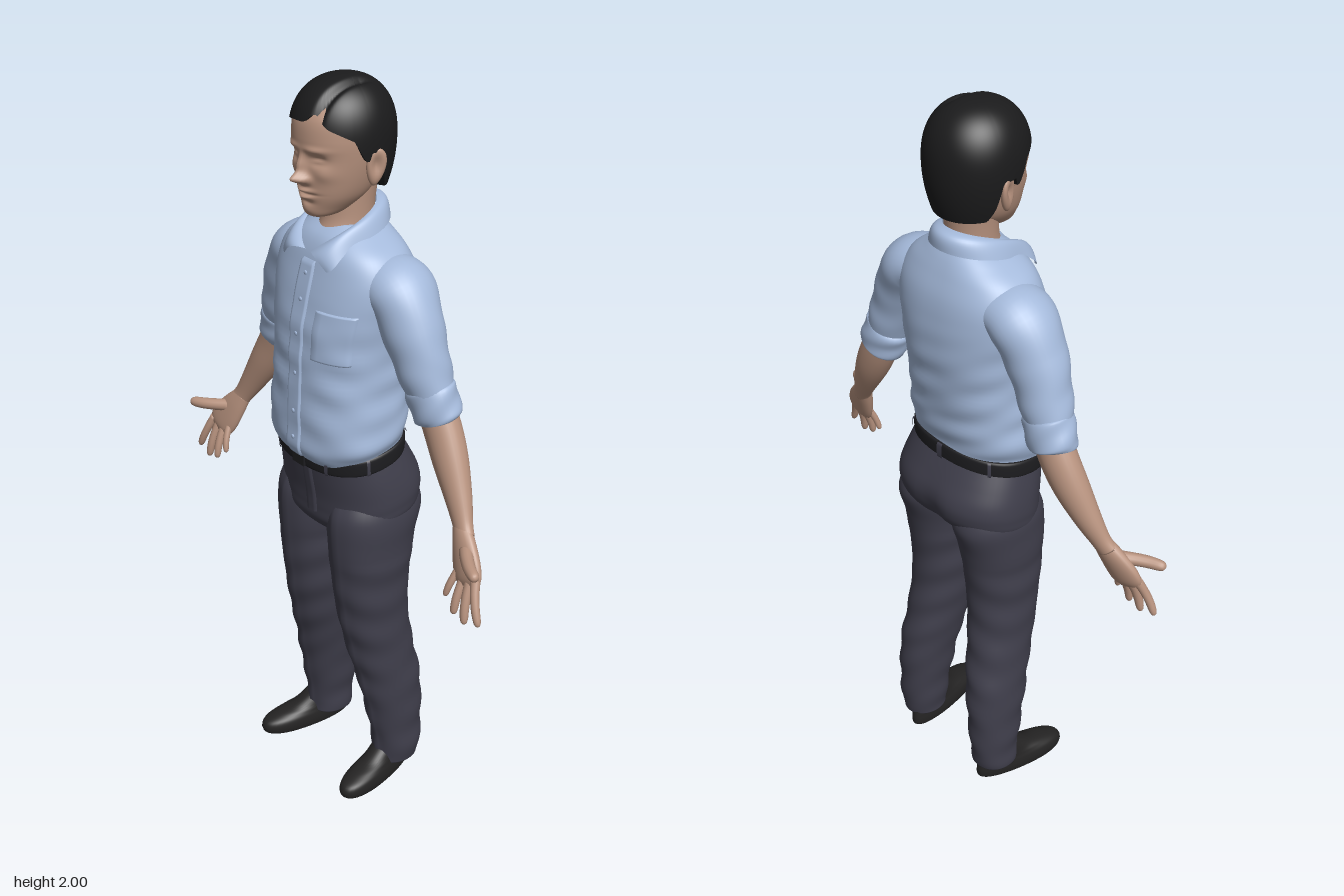
import * as THREE from 'three';

const mat = (name, color, side = THREE.FrontSide) => {
  const m = new THREE.MeshStandardMaterial({ color, side });
  m.name = name;
  return m;
};
const V = (x, y, z) => new THREE.Vector3(x, y, z);
const gauss = (d, s) => Math.exp(-((d / s) ** 2));

// Grid surface from fn(v, u); wrap joins the last column to the first
function grid(nv, nu, fn, wrap = true) {
  const pos = [], idx = [], cols = wrap ? nu : nu + 1;
  for (let i = 0; i <= nv; i++)
    for (let j = 0; j < cols; j++) pos.push(...fn(i / nv, j / nu, i).toArray());
  for (let i = 0; i < nv; i++)
    for (let j = 0; j < nu; j++) {
      const k = (j + 1) % cols, a = i * cols + j, b = a + cols, c = i * cols + k, d = c + cols;
      idx.push(a, b, c, b, d, c);
    }
  const g = new THREE.BufferGeometry();
  g.setAttribute('position', new THREE.Float32BufferAttribute(pos, 3));
  g.setIndex(idx);
  g.computeVertexNormals();
  return g;
}

// Smooth interpolation between table rows, t from 0 to 1
function sample(rows, t) {
  const n = rows.length - 1, f = Math.min(Math.max(t, 0), 1) * n, i = Math.min(Math.floor(f), n - 1), w = f - i;
  const r = (k) => rows[Math.min(Math.max(k, 0), n)];
  return rows[0].map((_, c) => {
    const [p, q, s, e] = [r(i - 1)[c], r(i)[c], r(i + 1)[c], r(i + 2)[c]];
    const m = (s - p) / 2, o = (e - q) / 2;
    return q + m * w + (3 * (s - q) - 2 * m - o) * w * w + (2 * (q - s) + m + o) * w ** 3;
  });
}

// Horizontal sections: rows of [y, centre x, half width, front z, back z], rising
function shell(rows, n = 2.3, fold = () => 0) {
  return (t, a, off = 0, scale = 1) => {
    const [y, cx, rx, zf, zb] = sample(rows, t), c = Math.cos(a), s = Math.sin(a), e = 2 / n;
    const d = off + fold(y, a);
    return V(cx + Math.sign(c) * Math.abs(c) ** e * (rx + d) * scale, y,
      (zf + zb) / 2 + Math.sign(s) * Math.abs(s) ** e * ((zf - zb) / 2 + d) * scale);
  };
}
const solid = (sh, nv = 40, nu = 48) => grid(nv + 2, nu, (v, u, i) =>
  sh((i - 1) / nv, u * Math.PI * 2, 0, i === 0 || i === nv + 2 ? 0 : 1));

// Limb along a path: rows of [x, y, z, width radius, depth radius]
function limb(rows, s = 1, nv = 20, nu = 20, fold = () => 0) {
  const at = (t) => { const r = sample(rows, t); return V(r[0] * s, r[1], r[2]); };
  return grid(nv + 2, nu, (v, u, i) => {
    const t = Math.min(Math.max((i - 1) / nv, 0), 1), r = sample(rows, t), a = u * Math.PI * 2;
    const dir = at(t + 0.01).sub(at(t - 0.01)).normalize();
    const side = dir.clone().cross(V(0, 0, 1)).normalize(), dep = side.clone().cross(dir);
    const k = i === 0 || i === nv + 2 ? 0 : 1 + fold(t, a);
    return at(t).addScaledVector(side, Math.cos(a) * r[3] * k).addScaledVector(dep, Math.sin(a) * r[4] * k);
  });
}

function edit(g, fn) {
  const p = g.attributes.position, v = V(0, 0, 0);
  for (let i = 0; i < p.count; i++) {
    fn(v.fromBufferAttribute(p, i));
    p.setXYZ(i, v.x, v.y, v.z);
  }
  g.computeVertexNormals();
  return g;
}

export function createModel() {
  const model = new THREE.Group();
  const shirt = mat('light blue cotton', 0xa4b9da, THREE.DoubleSide), cloth = mat('charcoal cloth', 0x3f3e4b);
  const skin = mat('skin', 0xb8937f), black = mat('black hair', 0x1b1b1c);
  const shoeMat = mat('shoe leather', 0x242323), beltMat = mat('belt leather', 0x1d1d20);
  const add = (name, g, m) => {
    const mesh = new THREE.Mesh(g, m);
    mesh.name = name;
    model.add(mesh);
    return mesh;
  };
  // The waistline drops towards the front
  const tilt = (v) => { v.y -= 0.16 * v.z * Math.min(Math.max((1.22 - v.y) / 0.14, 0), 1); };

  // Shirt body with soft folds
  const torso = shell([
    [1.04, 0, 0.172, 0.135, -0.108], [1.08, 0, 0.18, 0.158, -0.114], [1.12, 0, 0.193, 0.167, -0.122],
    [1.2, 0, 0.186, 0.163, -0.13], [1.3, 0, 0.182, 0.158, -0.141], [1.4, 0, 0.188, 0.152, -0.15],
    [1.48, 0, 0.2, 0.136, -0.147], [1.54, 0, 0.197, 0.12, -0.138], [1.59, 0, 0.168, 0.105, -0.12],
    [1.625, 0, 0.115, 0.085, -0.104], [1.65, 0, 0.07, 0.05, -0.088]], 2.4,
  (y, a) => 0.003 * Math.sin(y * 70 + 3 * Math.cos(a)) * Math.sin(a * 3 + y * 9) * Math.min(1, Math.max(0, (1.5 - y) * 5)));
  add('shirtBody', edit(solid(torso, 70, 72), tilt), shirt);
  const patch = (name, t0, t1, a0, a1) => add(name, edit(grid(40, 10,
    (v, u) => torso(t0 + (t1 - t0) * v, a0 + (a1 - a0) * u,
      u === 0 || u === 1 || v === 0 || v === 1 ? -0.002 : 0.005), false), tilt), shirt);
  patch('placket', 0.08, 0.76, 1.47, 1.66);
  patch('chestPocket', 0.43, 0.575, 0.62, 1.36);
  for (let i = 0; i < 6; i++) {
    const b = add('shirtButton', new THREE.SphereGeometry(0.006, 10, 8), shirt);
    b.position.copy(torso(0.17 + i * 0.105, 1.56, 0.005));
    b.scale.z = 0.5;
  }

  // Folded collar, open at the throat
  add('collar', grid(12, 60, (v, u) => {
    const a = 0.12 + u * (Math.PI * 2 - 0.24), back = (1 - Math.cos(a)) / 2, tip = Math.max(0, Math.cos(a)) ** 3;
    const top = V(0.078 * Math.sin(a), 1.585 + 0.115 * Math.sqrt(back), 0.115 - 0.195 * back);
    const low = V(0.108 * Math.sin(a) + Math.sign(Math.sin(a)) * 0.07 * tip,
      1.605 + 0.05 * back - 0.045 * tip, 0.124 - 0.238 * back);
    const p = top.lerp(low, v);
    p.y += 0.014 * Math.sin(v * Math.PI);
    p.z += 0.012 * Math.sin(v * Math.PI) * Math.cos(a);
    return p;
  }, false), shirt);

  // Belt with loops
  const waist = shell([[1.038, 0, 0.184, 0.145, -0.118], [1.045, 0, 0.187, 0.148, -0.121],
    [1.076, 0, 0.187, 0.15, -0.121], [1.083, 0, 0.182, 0.146, -0.116]], 2.3);
  add('belt', edit(solid(waist, 12, 64), tilt), beltMat);
  for (const a of [0.35, 1.1, 2.04, 2.8, 3.9, 4.71, 5.5])
    add('beltLoop', edit(grid(6, 4, (v, u) => waist(v, a + (u - 0.5) * 0.06, 0.004), false), tilt), cloth);
  const buckle = add('buckle', new THREE.BoxGeometry(0.045, 0.038, 0.01), beltMat);
  buckle.position.set(0, 1.037, 0.149);

  // Trousers: seat, fly and legs
  const seat = shell([[0.79, 0, 0.05, 0.03, -0.05], [0.83, 0, 0.13, 0.09, -0.11], [0.87, 0, 0.193, 0.12, -0.155],
    [0.91, 0, 0.203, 0.125, -0.17], [0.95, 0, 0.202, 0.128, -0.166], [1.0, 0, 0.194, 0.135, -0.143],
    [1.06, 0, 0.18, 0.143, -0.112]], 2.3,
  (y, a) => -0.012 * gauss(a - 4.71, 0.16) * gauss(y - 0.89, 0.07));
  add('trouserSeat', edit(solid(seat, 40, 64), tilt), cloth);
  add('fly', edit(grid(16, 6, (v, u) => seat(0.45 + 0.52 * v, 1.42 + 0.16 * u, u === 0 || u === 1 ? -0.001 : 0.004), false), tilt), cloth);
  for (const s of [1, -1]) {
    const rows = [[0.05, 0.16, 0.058, -0.008, -0.137], [0.08, 0.16, 0.061, -0.006, -0.142],
      [0.15, 0.157, 0.064, 0.003, -0.147], [0.3, 0.146, 0.072, 0.034, -0.147], [0.4, 0.133, 0.077, 0.058, -0.132],
      [0.5, 0.122, 0.082, 0.082, -0.115], [0.6, 0.114, 0.088, 0.099, -0.107], [0.7, 0.11, 0.093, 0.111, -0.113],
      [0.8, 0.106, 0.098, 0.12, -0.128], [0.88, 0.104, 0.099, 0.12, -0.15], [0.93, 0.1, 0.09, 0.1, -0.14]]
      .map(([y, x, ...r]) => [y, s * x - (s > 0 ? 0.022 * Math.max(0, 1 - y / 0.8) : 0), ...r]);
    const leg = shell(rows, 2.1, (y, a) => 0.006 * gauss(a - 1.57, 0.12)
      + 0.003 * Math.sin(y * 55 + s * 2 * Math.cos(a)) * Math.cos(a + y * 4) * (y < 0.75 ? 1 : 0.3));
    add(s > 0 ? 'leftTrouserLeg' : 'rightTrouserLeg', solid(leg, 70, 48), cloth);

    // Shoe, toe turned out
    const shoe = solid(shell([[0, 0, 0.04, 0.13, -0.13], [0.008, 0, 0.046, 0.141, -0.138], [0.025, 0, 0.048, 0.144, -0.14],
      [0.042, 0, 0.046, 0.132, -0.138], [0.056, 0, 0.042, 0.092, -0.135], [0.07, 0, 0.04, 0.04, -0.132],
      [0.1, 0, 0.038, -0.01, -0.125]], 2.2), 30, 40);
    const sm = add(s > 0 ? 'leftShoe' : 'rightShoe', edit(shoe, (v) => { v.x *= 0.95 + v.z * 0.9; }), shoeMat);
    sm.position.x = s > 0 ? 0.142 : -0.183;
    sm.rotation.y = s * 0.18;

    // Sleeve and rolled cuff
    add(s > 0 ? 'leftSleeve' : 'rightSleeve', limb([[0.11, 1.53, -0.02, 0.062, 0.085], [0.185, 1.51, -0.022, 0.076, 0.09],
      [0.235, 1.425, -0.02, 0.078, 0.076], [0.272, 1.335, -0.025, 0.069, 0.066], [0.302, 1.262, -0.033, 0.059, 0.056]],
    s, 40, 36, (t, a) => 0.04 * Math.sin(t * 24 + 2 * Math.sin(a)) * Math.cos(a - 1) * t), shirt);
    add(s > 0 ? 'leftCuff' : 'rightCuff', limb([[0.284, 1.298, -0.03, 0.056, 0.05], [0.288, 1.287, -0.031, 0.068, 0.06],
      [0.302, 1.254, -0.034, 0.068, 0.06], [0.315, 1.222, -0.037, 0.066, 0.057], [0.318, 1.214, -0.038, 0.056, 0.05]],
    s, 24, 32, (t, a) => 0.025 * Math.sin(t * 14 + 3 * a)), shirt);

    // Forearm, palm, thumb and fingers
    add(s > 0 ? 'leftForearm' : 'rightForearm', limb([[0.3, 1.255, -0.036, 0.05, 0.046], [0.338, 1.185, -0.035, 0.052, 0.045],
      [0.375, 1.12, -0.028, 0.048, 0.042], [0.42, 1.045, -0.015, 0.037, 0.032], [0.452, 0.992, -0.002, 0.029, 0.023],
      [0.47, 0.965, 0.007, 0.03, 0.021]], s, 30, 28), skin);
    add(s > 0 ? 'leftPalm' : 'rightPalm', limb([[0.45, 0.99, 0, 0.024, 0.02], [0.473, 0.955, 0.012, 0.037, 0.022],
      [0.498, 0.915, 0.025, 0.047, 0.021], [0.516, 0.885, 0.034, 0.047, 0.018], [0.524, 0.868, 0.038, 0.036, 0.011]],
    s, 20, 24), skin);
    const digit = (name, [x, y, z], [X, Y, Z], r, bend) => add(name, limb(
      [0, 0.3, 0.6, 0.85, 0.96, 1].map((t, i) => [x + (X - x) * t, y + (Y - y) * t, z + (Z - z) * t + bend * Math.sin(t * Math.PI),
        ...Array(2).fill(r * [1.1, 1, 0.95, 0.85, 0.6, 0.15][i])]), s, 16, 14), skin);
    digit('thumb', [0.492, 0.945, 0.022], [0.594, 0.938, 0.085], 0.0165, 0.008);
    digit('indexFinger', [0.545, 0.893, 0.038], [0.588, 0.79, 0.064], 0.0115, 0.006);
    digit('middleFinger', [0.526, 0.88, 0.037], [0.541, 0.774, 0.066], 0.012, 0.006);
    digit('ringFinger', [0.503, 0.88, 0.034], [0.502, 0.784, 0.066], 0.0115, 0.006);
    digit('littleFinger', [0.482, 0.895, 0.03], [0.464, 0.815, 0.06], 0.0095, 0.006);

    // Ear with a hollow
    const ear = add(s > 0 ? 'leftEar' : 'rightEar', edit(new THREE.SphereGeometry(1, 24, 18), (v) => {
      const hollow = gauss(Math.hypot(v.y - 0.15, v.z), 0.5);
      v.set(s * (v.x * s * 0.013 - (v.x * s > 0 ? 0.013 * hollow : 0)), v.y * 0.046, v.z * (0.024 + 0.006 * v.y));
    }), skin);
    ear.position.set(s * 0.112, 1.802, -0.002);
    ear.rotation.set(-0.12, -s * 0.35, -s * 0.14);
  }

  // Neck
  add('neck', solid(shell([[1.54, 0, 0.07, 0.105, -0.07], [1.6, 0, 0.064, 0.088, -0.075], [1.65, 0, 0.062, 0.062, -0.076],
    [1.7, 0, 0.064, 0.055, -0.078], [1.76, 0, 0.07, 0.05, -0.085]], 2), 24, 36), skin);

  // Face relief: [x, y, spread x, spread y, depth], mirrored
  const relief = [
    [0, 1.776, 0.015, 0.014, 0.034], [0, 1.805, 0.011, 0.026, 0.018], [0.017, 1.773, 0.009, 0.009, 0.012],
    [0.042, 1.822, 0.02, 0.012, -0.013], [0.042, 1.82, 0.015, 0.006, 0.007], [0.04, 1.847, 0.03, 0.008, 0.006],
    [0.06, 1.79, 0.02, 0.018, 0.006], [0, 1.745, 0.024, 0.006, 0.012], [0, 1.728, 0.02, 0.006, 0.011],
    [0, 1.7365, 0.03, 0.003, -0.006], [0, 1.695, 0.026, 0.014, 0.006], [0, 1.714, 0.02, 0.006, -0.004]];
  add('head', edit(solid(shell([[1.673, 0, 0.018, 0.098, 0.04], [1.681, 0, 0.038, 0.11, 0.015], [1.7, 0, 0.056, 0.115, -0.025],
    [1.73, 0, 0.076, 0.121, -0.06], [1.77, 0, 0.09, 0.125, -0.085], [1.82, 0, 0.1, 0.127, -0.1],
    [1.87, 0, 0.104, 0.132, -0.105], [1.92, 0, 0.1, 0.122, -0.1], [1.955, 0, 0.075, 0.085, -0.075],
    [1.97, 0, 0.03, 0.03, -0.03]], 2.15), 130, 128), (v) => {
    if (v.z < 0.03) return;
    const w = Math.min(1, (v.z - 0.03) / 0.04);
    for (const [x, y, sx, sy, d] of relief) v.z += w * d * gauss(Math.abs(v.x) - x, sx) * gauss(v.y - y, sy);
  }), skin);

  // Hair cap: hairline height runs from the nape (-1) to the forehead (1), parted on the left
  const line = [[-1, 1.735], [-0.45, 1.74], [-0.3, 1.77], [-0.18, 1.835], [0.1, 1.84], [0.16, 1.815],
    [0.26, 1.83], [0.42, 1.872], [0.7, 1.893], [1, 1.91]];
  add('hair', grid(50, 128, (v, u) => {
    const a = u * Math.PI * 2, c = Math.cos(a), f = Math.sin(a);
    const i = Math.min(line.findIndex((p) => p[0] >= f - 1e-9), line.length - 1), j = Math.max(i, 1);
    const [p, q] = [line[j - 1], line[j]];
    let h = p[1] + (q[1] - p[1]) * (f - p[0]) / (q[0] - p[0]);
    if (f > 0) h += 0.028 * gauss(c - 0.36, 0.16);
    const y = h + (2 - h) * Math.sin(Math.max(0, (v - 0.06) / 0.94) * Math.PI / 2);
    const up = Math.min(1, Math.abs(y - 1.86) / 0.14);
    let r = y > 1.86 ? Math.max(0, 1 - up ** 2.3) ** (1 / 2.3) : 1 - 0.22 * up * up;
    if (v < 0.02) r *= 0.8;
    const x = c * 0.122 * r - 0.002, z = f * (f > 0 ? 0.138 : 0.127) * r;
    const part = z > -0.06 && y > 1.9 ? gauss(x - 0.045, 0.01) * Math.min(1, (z + 0.06) / 0.05) : 0;
    return V(x, y - 0.012 * part, z - 0.006 * part * Math.max(f, 0));
  }), black);

  return model;
}
